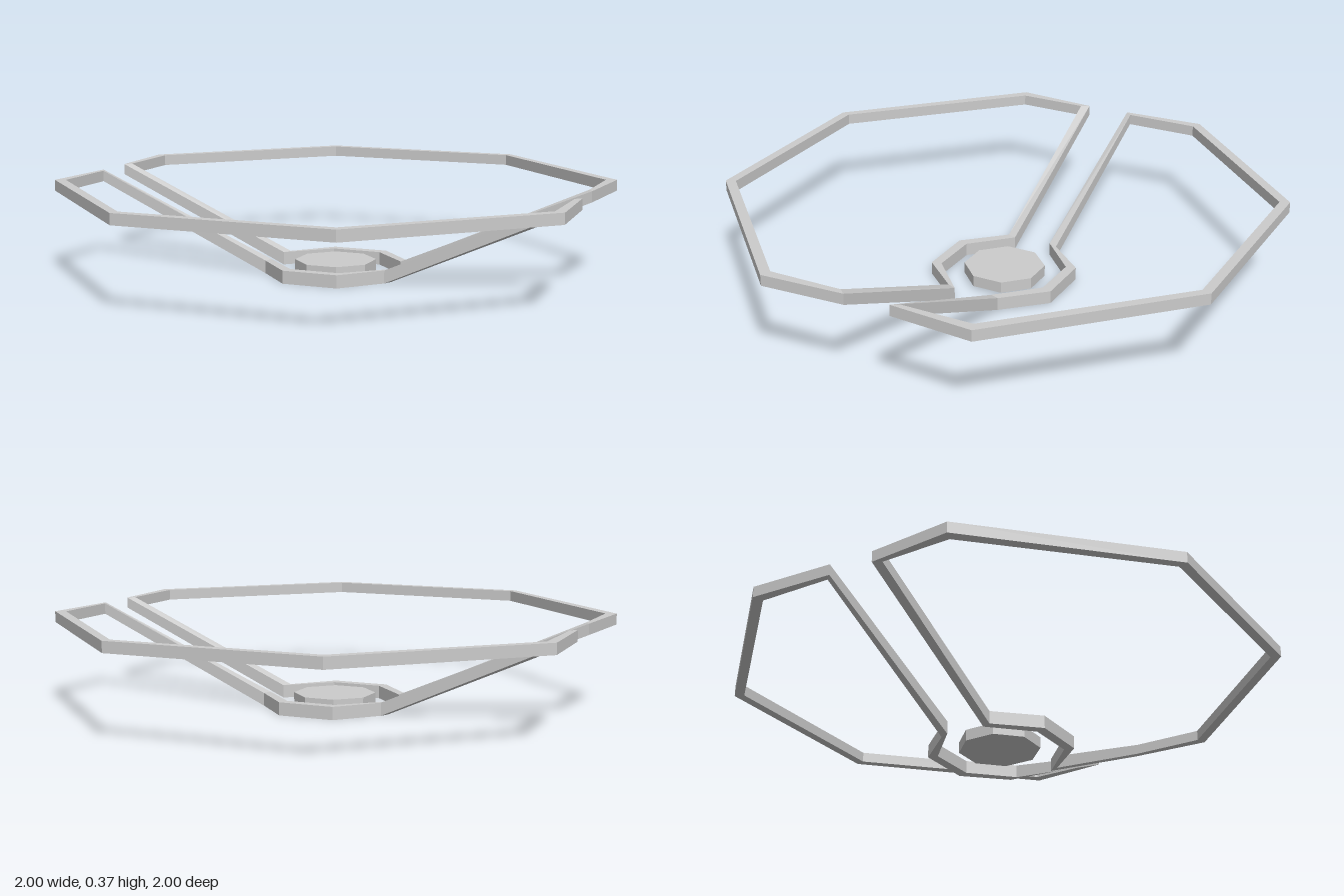
import * as THREE from 'three';

// Corners of one half frame: [outer x, outer z, inner x, inner z, bottom y, top y]
const HIGH = [0.323, 0.365], LOW = [0, 0.05];
const CORNERS = [
  [-0.405, -1.0, -0.39, -0.963, ...HIGH],
  [0.415, -0.993, 0.405, -0.957, ...HIGH],
  [1.0, -0.405, 0.96, -0.39, ...HIGH],
  [0.975, -0.085, 0.957, -0.117, ...HIGH],
  [0.24, -0.072, 0.252, -0.106, ...LOW],
  [0.098, -0.218, 0.112, -0.258, ...LOW],
  [-0.098, -0.222, -0.108, -0.26, ...LOW],
  [-0.255, -0.076, -0.24, -0.111, ...LOW],
  [-0.98, -0.09, -0.957, -0.115, ...HIGH],
  [-0.995, -0.415, -0.957, -0.4, ...HIGH],
];

// Closed band with a four-sided section at every corner
function bandGeometry(corners) {
  const sections = corners.map(([xo, zo, xi, zi, y0, y1]) => [
    [xo, y0, zo], [xo, y1, zo], [xi, y1, zi], [xi, y0, zi],
  ]);
  const positions = [];
  sections.forEach((s, i) => {
    const n = sections[(i + 1) % sections.length];
    for (let k = 0; k < 4; k++) {
      const k2 = (k + 1) % 4;
      positions.push(...s[k], ...s[k2], ...n[k2], ...s[k], ...n[k2], ...n[k]);
    }
  });
  const g = new THREE.BufferGeometry();
  g.setAttribute('position', new THREE.Float32BufferAttribute(positions, 3));
  g.computeVertexNormals();
  return g;
}

export function createModel() {
  const model = new THREE.Group();
  const material = new THREE.MeshStandardMaterial({ color: 0xcccccc, flatShading: true });

  // Two half frames, the front one turned half way round
  const band = bandGeometry(CORNERS);
  ['backFrame', 'frontFrame'].forEach((name, i) => {
    const frame = new THREE.Mesh(band, material);
    frame.name = name;
    frame.rotation.y = i * Math.PI;
    model.add(frame);
  });

  // Octagonal centre plate
  const radius = 0.145 / Math.cos(Math.PI / 8);
  const plate = new THREE.Mesh(new THREE.CylinderGeometry(radius, radius, 0.044, 8), material);
  plate.name = 'centrePlate';
  plate.rotation.y = Math.PI / 8;
  plate.position.set(-0.003, 0.032, -0.003);
  model.add(plate);

  return model;
}
